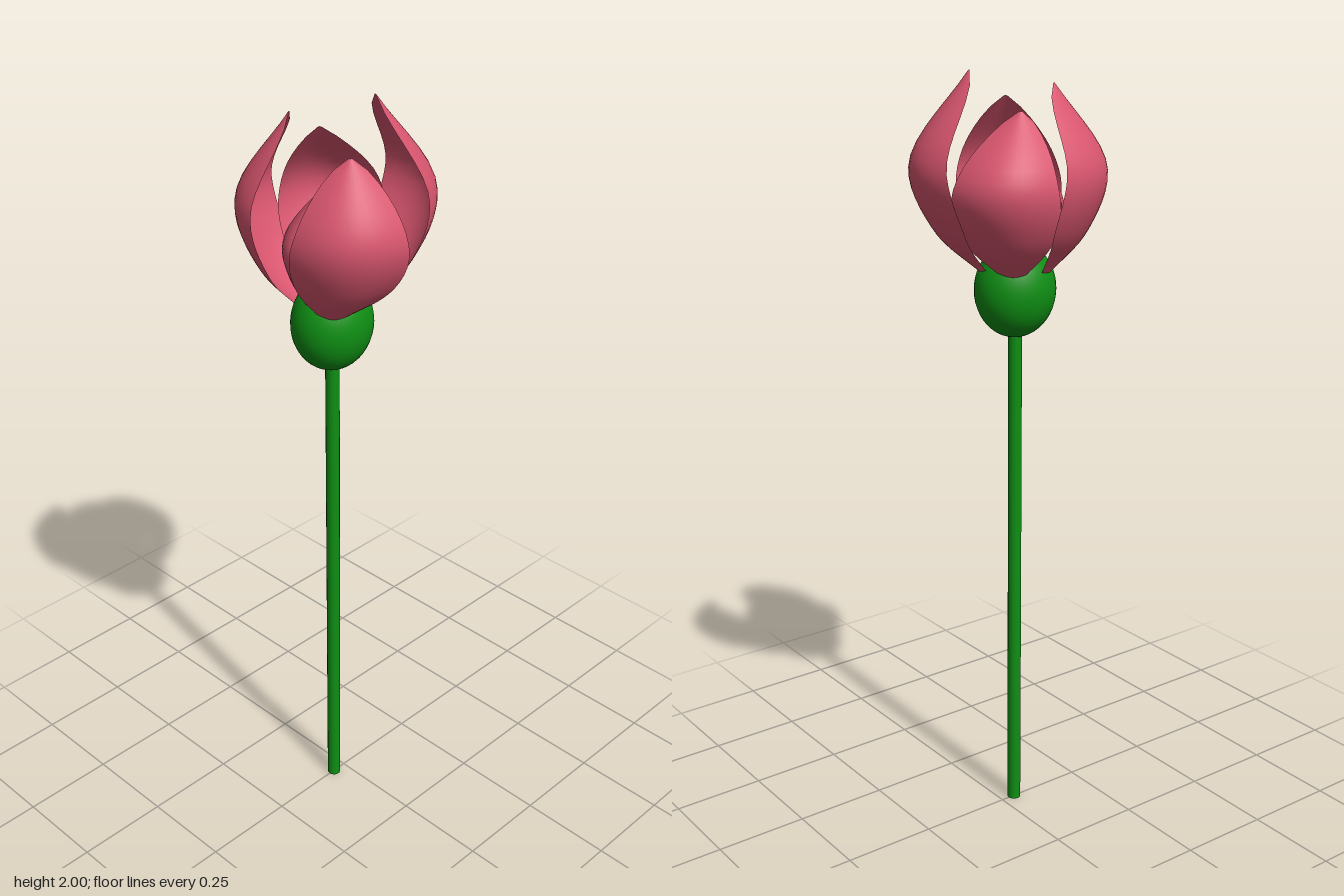
import * as THREE from 'three';

const AXIS_Z = 0.04; // the stem stands slightly forward of centre
const green = new THREE.MeshStandardMaterial({ color: 0x0f8f14 });
const pink = new THREE.MeshStandardMaterial({ color: 0xd9566f, side: THREE.DoubleSide });

// Cupped, pointed petal: a spine from the calyx over the belly to the tip,
// swept sideways by a leaf-shaped width and bent back towards the axis.
function petalGeometry({ belly, tip, dir, half, cup, base = 0.085, baseY = 1.5 }) {
  const out = new THREE.Vector3(dir[0], 0, dir[1]).normalize();
  const side = new THREE.Vector3(out.z, 0, -out.x);
  const root = new THREE.Vector3(0, baseY, AXIS_Z).addScaledVector(out, base);
  const mid = new THREE.Vector3(...belly);
  const low = root.clone().lerp(mid, 0.68);
  low.y = THREE.MathUtils.lerp(baseY, mid.y, 0.42);
  const spine = new THREE.CatmullRomCurve3([root, low, mid, new THREE.Vector3(...tip)]);

  const rows = 20, cols = 12;
  const geometry = new THREE.PlaneGeometry(1, 1, cols, rows);
  const pos = geometry.attributes.position;
  const p = new THREE.Vector3();
  for (let j = 0; j <= rows; j++) {
    const t = j / rows;
    const w = 0.16 * (1 - t) + Math.pow(Math.sin(Math.PI * Math.pow(t, 1.25)), 0.8) * 0.97 + 0.03;
    for (let i = 0; i <= cols; i++) {
      const s = (i / cols) * 2 - 1;
      spine.getPoint(t, p);
      p.addScaledVector(side, s * w * half).addScaledVector(out, -cup * s * s * w);
      pos.setXYZ(j * (cols + 1) + i, p.x, p.y, p.z);
    }
  }
  geometry.computeVertexNormals();
  return geometry;
}

const PETALS = {
  // four large outer petals
  backPetal: { belly: [0.085, 1.78, -0.215], tip: [0.02, 2.0, -0.085], dir: [0.41, -0.91], half: 0.132, cup: 0.065 },
  rightFrontPetal: { belly: [-0.195, 1.77, 0.165], tip: [-0.1, 1.97, 0.08], dir: [-0.8, 0.6], half: 0.135, cup: 0.06 },
  leftFrontPetal: { belly: [0.19, 1.74, 0.17], tip: [0.12, 1.92, 0.1], dir: [0.71, 0.71], half: 0.128, cup: 0.06 },
  rightBackPetal: { belly: [-0.175, 1.74, -0.125], tip: [-0.1, 1.91, -0.02], dir: [-0.75, -0.66], half: 0.122, cup: 0.06 },
  // smaller petals between them
  frontPetal: { belly: [0, 1.68, 0.172], tip: [0, 1.8, 0.08], dir: [0, 1], half: 0.078, cup: 0.05, baseY: 1.53 },
  leftPetal: { belly: [0.185, 1.68, 0.04], tip: [0.11, 1.8, 0.06], dir: [0.95, -0.2], half: 0.08, cup: 0.04, baseY: 1.53 },
  // closed heart of the flower
  innerBackPetal: { belly: [0.04, 1.68, -0.085], tip: [0.02, 1.79, 0.01], dir: [0.35, -0.9], half: 0.09, cup: 0.06, base: 0.05, baseY: 1.53 },
  innerFrontPetal: { belly: [0, 1.66, 0.1], tip: [0.01, 1.76, 0.01], dir: [0, 1], half: 0.088, cup: 0.05, base: 0.04, baseY: 1.53 },
};

export function createModel() {
  const flower = new THREE.Group();
  flower.name = 'flower';
  const add = (name, geometry, material) => {
    const mesh = new THREE.Mesh(geometry, material);
    mesh.name = name;
    flower.add(mesh);
    return mesh;
  };

  // stem
  add('stem', new THREE.CylinderGeometry(0.018, 0.018, 1.37, 16), green).position.set(0, 0.685, AXIS_Z);

  // egg-shaped calyx
  const calyx = add('calyx', new THREE.SphereGeometry(1, 32, 24), green);
  calyx.scale.set(0.098, 0.122, 0.107);
  calyx.position.set(0, 1.457, AXIS_Z);

  // petals
  for (const [name, spec] of Object.entries(PETALS)) add(name, petalGeometry(spec), pink);

  return flower;
}
